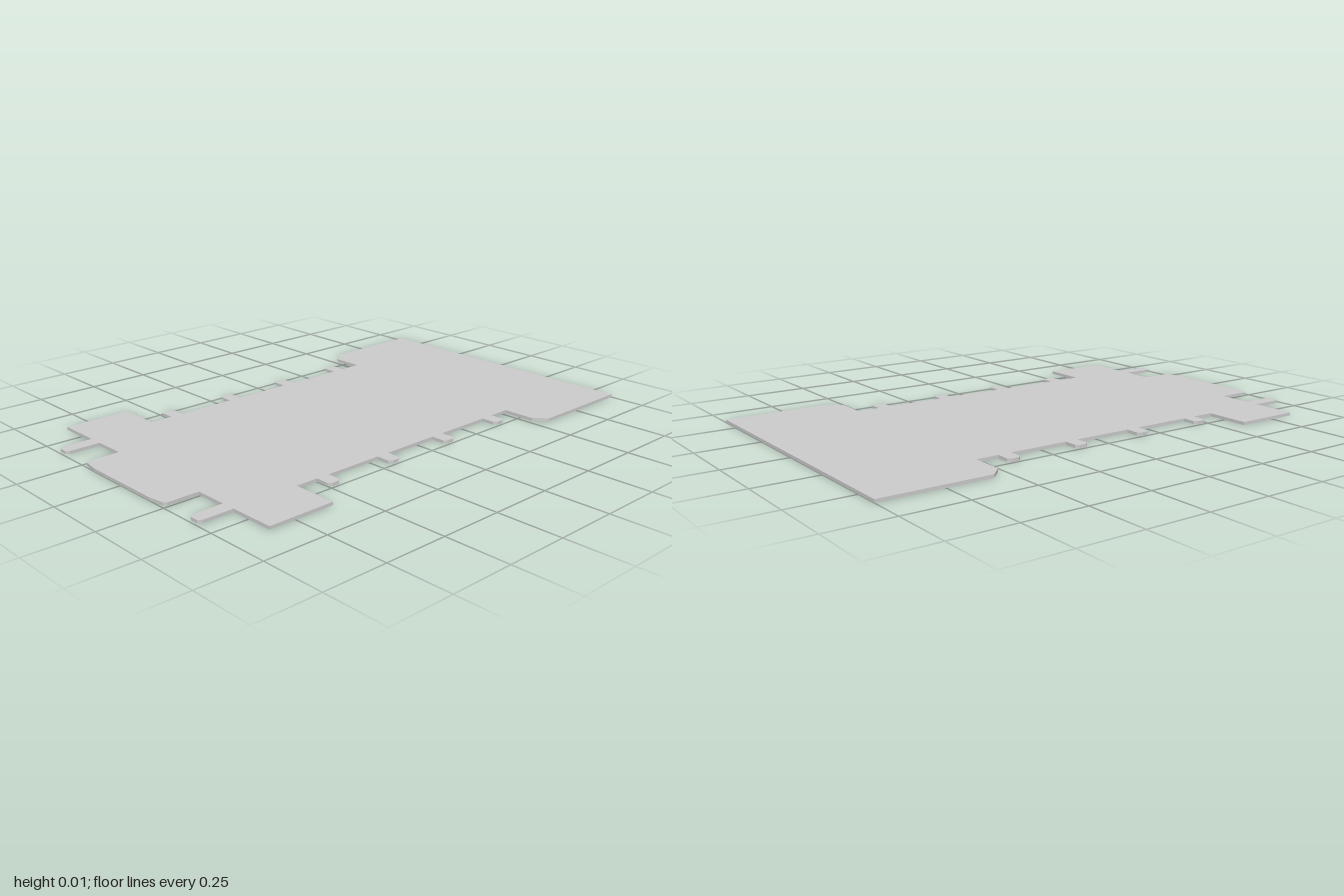
import * as THREE from 'three';

const THICKNESS = 0.012;

// Outline of one half, from the straight edge at +x round to the tongue at -x
function halfOutline() {
  const pts = [[1, 0.603], [0.567, 0.603], [0.52, 0.556], [0.52, 0.426]];

  // Small side tabs with clipped corners
  for (const x of [0.403, 0.11, -0.181, -0.472]) {
    const w = 0.027, c = 0.012, tip = 0.49;
    pts.push([x + w, 0.426], [x + w, tip - c], [x + w - c, tip],
      [x - w + c, tip], [x - w, tip - c], [x - w, 0.426]);
  }

  // Flange, narrow finger and central tongue
  pts.push(
    [-0.59, 0.426], [-0.59, 0.603], [-0.855, 0.603], [-0.855, 0.426],
    [-0.977, 0.426], [-0.99, 0.415], [-0.99, 0.383], [-0.977, 0.371], [-0.855, 0.371],
    [-0.855, 0.242], [-0.982, 0.242], [-0.99, 0.234], [-1, 0.17]
  );
  return pts;
}

export function createModel() {
  const group = new THREE.Group();
  group.name = 'flatPanel';

  // Mirror the half outline to close the plate
  const half = halfOutline();
  const mirrored = half.map(([x, z]) => [x, -z]).reverse();
  const shape = new THREE.Shape([...half, ...mirrored].map(([x, z]) => new THREE.Vector2(x, z)));

  // Extrude upward from the ground
  const geometry = new THREE.ExtrudeGeometry(shape, { depth: THICKNESS, bevelEnabled: false });
  geometry.rotateX(-Math.PI / 2);

  const plate = new THREE.Mesh(geometry, new THREE.MeshStandardMaterial({ color: 0xcccccc }));
  plate.name = 'tabbedPlate';
  group.add(plate);
  return group;
}
